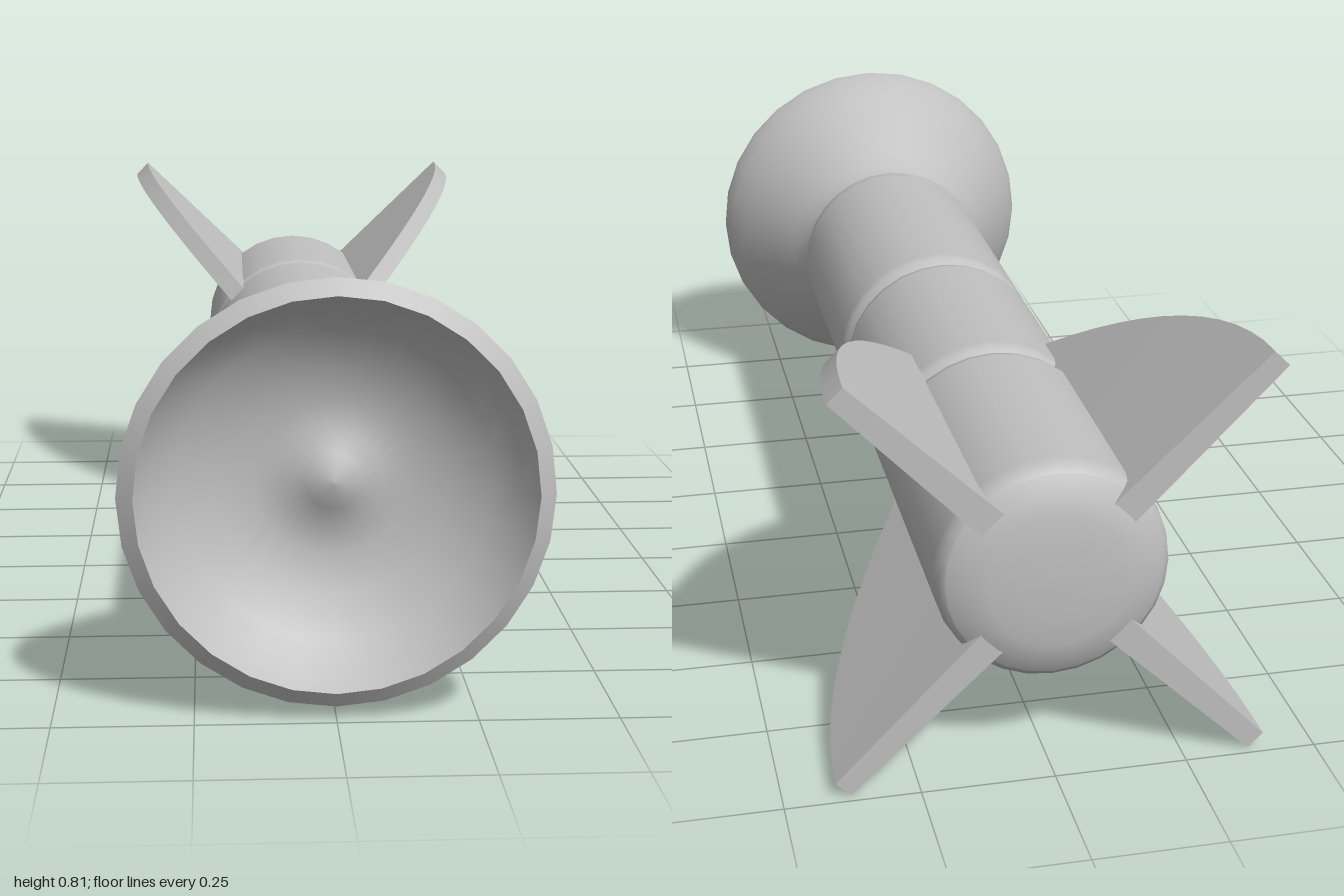
import * as THREE from 'three';

const AXIS_Y = 0.404;
const SIDES = 28;

export function createModel() {
  const model = new THREE.Group();
  const grey = new THREE.MeshStandardMaterial({ color: 0xc0c0c0 });
  grey.name = 'grey';

  // Everything is built around the z axis, then lifted to its height
  const dart = new THREE.Group();
  dart.name = 'dart';
  dart.position.y = AXIS_Y;
  model.add(dart);

  const add = (name, geometry) => {
    const mesh = new THREE.Mesh(geometry, grey);
    mesh.name = name;
    dart.add(mesh);
    return mesh;
  };

  // Surface of revolution from [radius, z] points
  const turned = (name, profile) => {
    const points = profile.map(([r, z]) => new THREE.Vector2(r, z));
    return add(name, new THREE.LatheGeometry(points, SIDES).rotateX(Math.PI / 2));
  };

  // Shaft: rounded tail cap and three tubes with bevelled ends
  turned('tailCap', [[0, -1], [0.07, -0.9985], [0.13, -0.994], [0.17, -0.983], [0.2, -0.965]]);
  turned('rearTube', [[0.2, -0.965], [0.211, -0.955], [0.216, -0.93], [0.216, -0.48], [0.212, -0.46], [0.2, -0.445]]);
  turned('middleTube', [[0.2, -0.445], [0.212, -0.43], [0.216, -0.41], [0.216, 0.01], [0.212, 0.03], [0.197, 0.05]]);
  turned('frontTube', [[0.197, 0.05], [0.212, 0.07], [0.216, 0.09], [0.216, 0.64], [0.214, 0.66], [0.208, 0.685]]);

  // Suction cup: flared outside, bevelled rim, hollow with a central bump
  turned('cupOutside', [
    [0.208, 0.685], [0.216, 0.71], [0.236, 0.74], [0.285, 0.81],
    [0.34, 0.89], [0.365, 0.93], [0.378, 0.96], [0.381, 0.98],
  ]);
  turned('cupRim', [[0.381, 0.98], [0.351, 1]]);
  turned('cupInside', [
    [0.351, 1], [0.325, 0.955], [0.28, 0.91], [0.21, 0.87], [0.14, 0.852],
    [0.09, 0.855], [0.05, 0.872], [0.025, 0.884], [0, 0.888],
  ]);

  // Fin: a box bent so its outer edge follows a parabola and its root thickens rearward
  const fin = new THREE.BoxGeometry(1, 1, 1, 1, 1, 12);
  const pos = fin.attributes.position;
  for (let i = 0; i < pos.count; i++) {
    const u = 0.5 - pos.getZ(i);
    const outer = pos.getX(i) > 0;
    const radius = outer ? 0.217 + 0.334 * (1 - (1 - u) ** 2) : 0.165;
    const thickness = outer ? 0.04 : 0.04 + 0.016 * u;
    pos.setXYZ(i, radius, pos.getY(i) * thickness, -0.335 - 0.648 * u);
  }
  fin.computeVertexNormals();
  ['upperLeftFin', 'upperRightFin', 'lowerRightFin', 'lowerLeftFin'].forEach((name, i) => {
    add(name, fin).rotation.z = Math.PI / 4 + (i * Math.PI) / 2;
  });

  return model;
}
